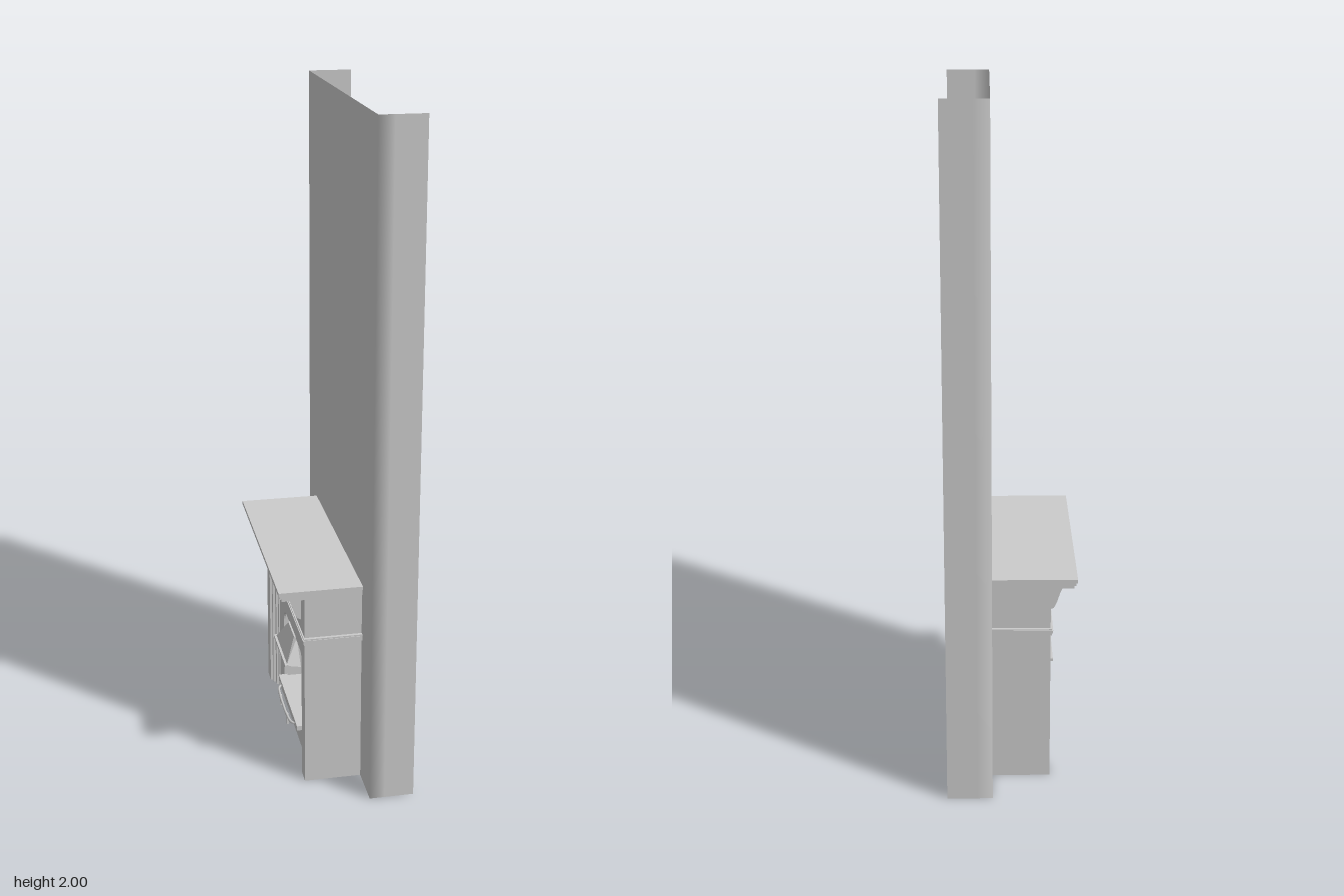
import * as THREE from 'three';

const mat = new THREE.MeshStandardMaterial({ color: 0xcccccc, side: THREE.DoubleSide });

export function createModel() {
  const model = new THREE.Group();
  const add = (name, geometry) => {
    const mesh = new THREE.Mesh(geometry, mat);
    mesh.name = name;
    model.add(mesh);
    return mesh;
  };
  // box given by its limits on each axis
  const box = (name, x0, x1, y0, y1, z0, z1) =>
    add(name, new THREE.BoxGeometry(x1 - x0, y1 - y0, z1 - z0)
      .translate((x0 + x1) / 2, (y0 + y1) / 2, (z0 + z1) / 2));
  const toShape = pts => new THREE.Shape(pts.map(p => new THREE.Vector2(...p)));
  // outline in the (z, y) plane, given depth along +x from x0
  const slab = (name, shape, x0, depth) =>
    add(name, new THREE.ExtrudeGeometry(shape, { depth, bevelEnabled: false, curveSegments: 8 })
      .rotateY(Math.PI / 2).translate(x0, 0, 0));
  // arch-like frame, open at the floor
  const frame = (name, zo, yo, zi, yi, x0, depth) => slab(name, toShape([
    [-zo, 0], [-zi, 0], [-zi, yi], [zi, yi], [zi, 0], [zo, 0], [zo, yo], [-zo, yo],
  ]), x0, depth);
  // flat faces from lists of four corners
  const quads = (name, faces) => {
    const pos = faces.flatMap(([a, b, c, d]) => [a, b, c, a, c, d]).flat();
    const g = new THREE.BufferGeometry();
    g.setAttribute('position', new THREE.Float32BufferAttribute(pos, 3));
    g.computeVertexNormals();
    return add(name, g);
  };

  // chimney breast: one thin sheet with side returns, softly shaded at the corners
  const wallPlan = [[0.187, 0.47], [0.1, 0.47], [0.055, 0.47], [0.055, -0.47], [0.1, -0.47], [0.187, -0.47]];
  const wall = new THREE.PlaneGeometry(1, 2, wallPlan.length - 1, 1);
  for (let i = 0; i < wall.attributes.position.count; i++) {
    const [x, z] = wallPlan[i % wallPlan.length];
    wall.attributes.position.setXYZ(i, x, i < wallPlan.length ? 2 : 0, z);
  }
  wall.computeVertexNormals();
  add('chimneyBreast', wall);

  // mantel shelf: stacked slab and bed mouldings
  box('mantelShelf', -0.192, 0.085, 0.624, 0.635, -0.352, 0.352);
  box('shelfMoulding', -0.187, 0.085, 0.614, 0.624, -0.348, 0.348);
  box('shelfBed', -0.182, 0.085, 0.605, 0.614, -0.345, 0.345);

  // surround: front with stepped inner frames
  frame('surroundFront', 0.34, 0.605, 0.29, 0.42, -0.115, 0.012);
  frame('outerStep', 0.292, 0.422, 0.275, 0.405, -0.108, 0.015);
  frame('middleStep', 0.29, 0.42, 0.255, 0.385, -0.1, 0.015);
  frame('innerStep', 0.27, 0.4, 0.24, 0.37, -0.094, 0.012);

  for (const s of [-1, 1]) {
    // hollow side cheeks
    quads('surroundSide', [[
      [-0.115, 0, s * 0.34], [0.085, 0, s * 0.34], [0.085, 0.605, s * 0.34], [-0.115, 0.605, s * 0.34],
    ]]);
    // moulding round the sides
    box('sideBand', -0.118, 0.085, 0.46, 0.48, s * 0.345 - 0.005, s * 0.345 + 0.005);
    box('sideBandLip', -0.121, 0.085, 0.468, 0.476, s * 0.347 - 0.005, s * 0.347 + 0.005);

    // scrolled bracket under the shelf
    const bracket = new THREE.Shape();
    bracket.moveTo(-0.112, 0.605);
    bracket.lineTo(-0.178, 0.605);
    bracket.lineTo(-0.176, 0.596);
    bracket.bezierCurveTo(-0.14, 0.592, -0.145, 0.545, -0.126, 0.518);
    bracket.lineTo(-0.112, 0.512);
    add('shelfBracket', new THREE.ExtrudeGeometry(bracket, { depth: 0.03, bevelEnabled: false, curveSegments: 8 })
      .translate(0, 0, s * 0.27 - 0.015));
  }
  box('frontBand', -0.119, -0.113, 0.46, 0.48, -0.345, 0.345);
  box('frontBandLip', -0.122, -0.113, 0.468, 0.476, -0.35, 0.35);

  // metal insert with the fire opening
  const insert = toShape([[-0.245, 0], [0.245, 0], [0.245, 0.375], [-0.245, 0.375]]);
  const hole = new THREE.Path();
  hole.moveTo(-0.165, 0.085);
  hole.lineTo(-0.165, 0.29);
  hole.quadraticCurveTo(-0.16, 0.33, -0.11, 0.33);
  hole.lineTo(0.11, 0.33);
  hole.quadraticCurveTo(0.16, 0.33, 0.165, 0.29);
  hole.lineTo(0.165, 0.085);
  insert.holes.push(hole);
  slab('insertPlate', insert, -0.09, 0.006);

  // firebox: its throat slopes down to the back
  const front = [[-0.085, 0.08, -0.167], [-0.085, 0.08, 0.167], [-0.085, 0.335, 0.167], [-0.085, 0.335, -0.167]];
  const mid = front.map(([, y, z]) => [0.05, Math.min(y, 0.255), z]);
  const back = front.map(([, y, z]) => [0.093, Math.min(y, 0.255), z]);
  const tube = (a, b) => a.map((p, i) => [p, a[(i + 1) % 4], b[(i + 1) % 4], b[i]]);
  quads('firebox', [...tube(front, mid), ...tube(mid, back), back]);

  // smoke hood with a projecting lip
  const lip = [[-0.085, 0.262, -0.115], [-0.128, 0.262, -0.1], [-0.128, 0.262, 0.1], [-0.085, 0.262, 0.115]];
  const crown = [[-0.088, 0.335, -0.06], [-0.095, 0.335, -0.05], [-0.095, 0.335, 0.05], [-0.088, 0.335, 0.06]];
  quads('smokeHood', [0, 1, 2].map(i => [lip[i], lip[i + 1], crown[i + 1], crown[i]]).concat([crown]));
  box('hoodLip', -0.133, -0.122, 0.258, 0.267, -0.105, 0.105);

  // bowed fire bar on short feet, and the sill behind it
  box('fireSill', -0.108, -0.08, 0.07, 0.085, -0.167, 0.167);
  const bow = new THREE.CatmullRomCurve3([
    [-0.09, -0.13], [-0.114, -0.115], [-0.122, -0.06], [-0.123, 0], [-0.122, 0.06], [-0.114, 0.115], [-0.09, 0.13],
  ].map(([x, z]) => new THREE.Vector3(x, 0.07, z)));
  add('fireBar', new THREE.TubeGeometry(bow, 28, 0.004, 6));
  for (const z of [-0.06, 0.06]) box('barFoot', -0.122, -0.116, 0.035, 0.07, z - 0.005, z + 0.005);

  return model;
}
